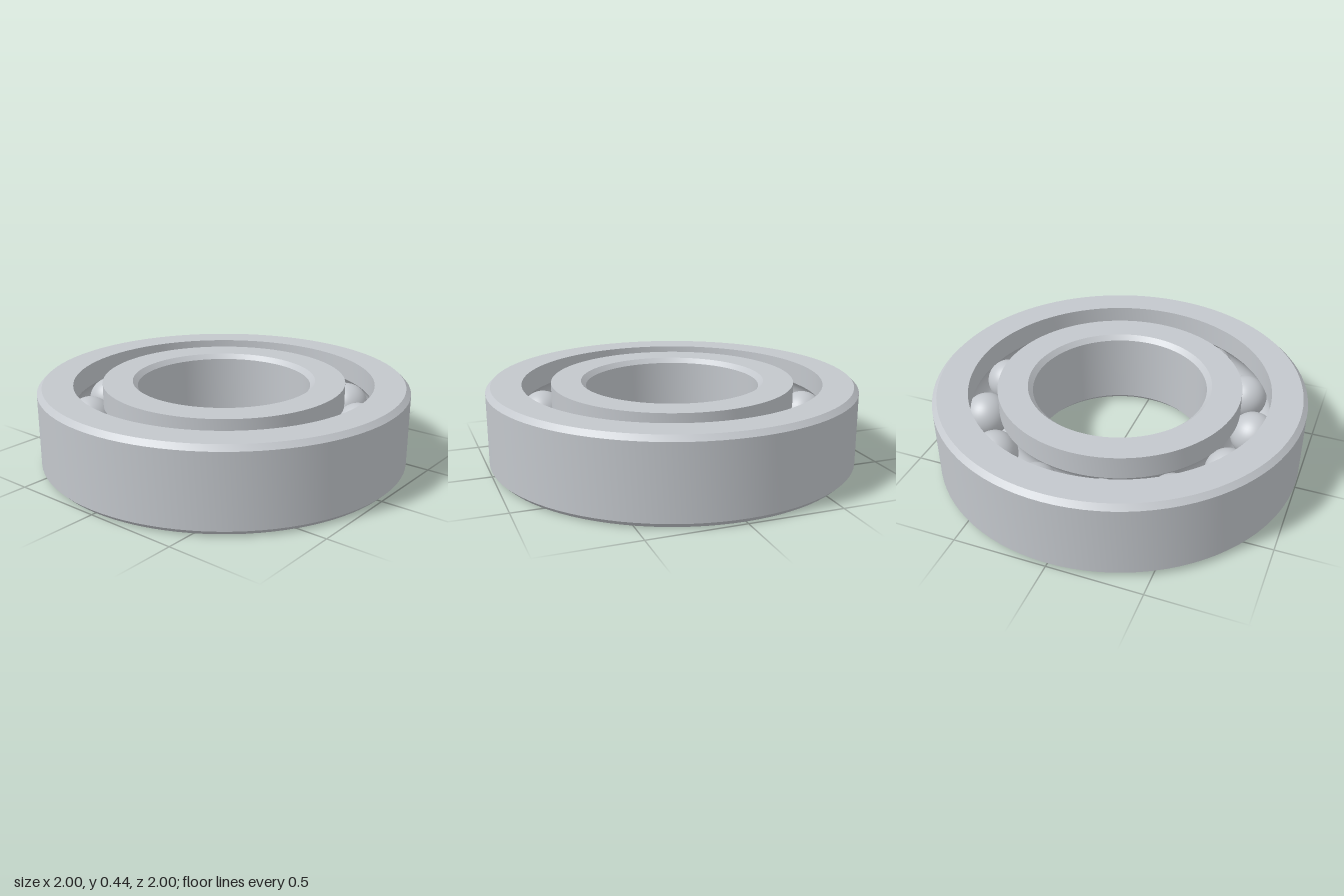
import * as THREE from 'three';
import { toCreasedNormals } from 'three/addons/utils/BufferGeometryUtils.js';

const HEIGHT = 0.44, MID = HEIGHT / 2, CHAMFER = 0.026;
const PITCH = 0.733;      // radius of the circle of ball centres
const BALL = 0.121, BALL_COUNT = 13;
const GROOVE = 0.123;     // raceway radius, slightly larger than the balls

// Raceway arc cut into a wall at the given radius; dir = 1 runs upwards, -1 downwards
function raceway(wall, dir) {
  const side = Math.sign(wall - PITCH);
  const half = Math.acos(Math.abs(wall - PITCH) / GROOVE);
  const points = [], steps = 14;
  for (let i = 0; i <= steps; i++) {
    const a = dir * half * (2 * i / steps - 1);
    points.push([PITCH + side * GROOVE * Math.cos(a), MID + GROOVE * Math.sin(a)]);
  }
  return points;
}

// Revolves a closed counter-clockwise [radius, y] profile, keeping its edges sharp
function ring(name, profile, material) {
  const points = [...profile, profile[0]].map(([r, y]) => new THREE.Vector2(r, y));
  const geometry = toCreasedNormals(new THREE.LatheGeometry(points, 96), 0.5);
  const mesh = new THREE.Mesh(geometry, material);
  mesh.name = name;
  return mesh;
}

export function createModel() {
  const model = new THREE.Group();
  model.name = 'ballBearing';
  const steel = new THREE.MeshStandardMaterial({ color: 0xc3c7cc });
  steel.name = 'steel';

  // Outer ring: chamfered outer rim, grooved inner wall
  const outerR = 1, outerWall = 0.81;
  model.add(ring('outerRing', [
    [outerWall, 0], [outerR - CHAMFER, 0], [outerR, CHAMFER],
    [outerR, HEIGHT - CHAMFER], [outerR - CHAMFER, HEIGHT], [outerWall, HEIGHT],
    ...raceway(outerWall, -1),
  ], steel));

  // Inner ring: chamfered bore, grooved outer wall
  const bore = 0.468, innerWall = 0.655;
  model.add(ring('innerRing', [
    [bore + CHAMFER, 0], [innerWall, 0],
    ...raceway(innerWall, 1),
    [innerWall, HEIGHT], [bore + CHAMFER, HEIGHT],
    [bore, HEIGHT - CHAMFER], [bore, CHAMFER],
  ], steel));

  // Balls, evenly spaced starting at +x
  const balls = new THREE.Group();
  balls.name = 'balls';
  const ballGeometry = new THREE.SphereGeometry(BALL, 40, 24);
  for (let i = 0; i < BALL_COUNT; i++) {
    const a = i / BALL_COUNT * Math.PI * 2;
    const ball = new THREE.Mesh(ballGeometry, steel);
    ball.name = 'ball';
    ball.position.set(PITCH * Math.cos(a), MID, PITCH * Math.sin(a));
    balls.add(ball);
  }
  model.add(balls);
  return model;
}
